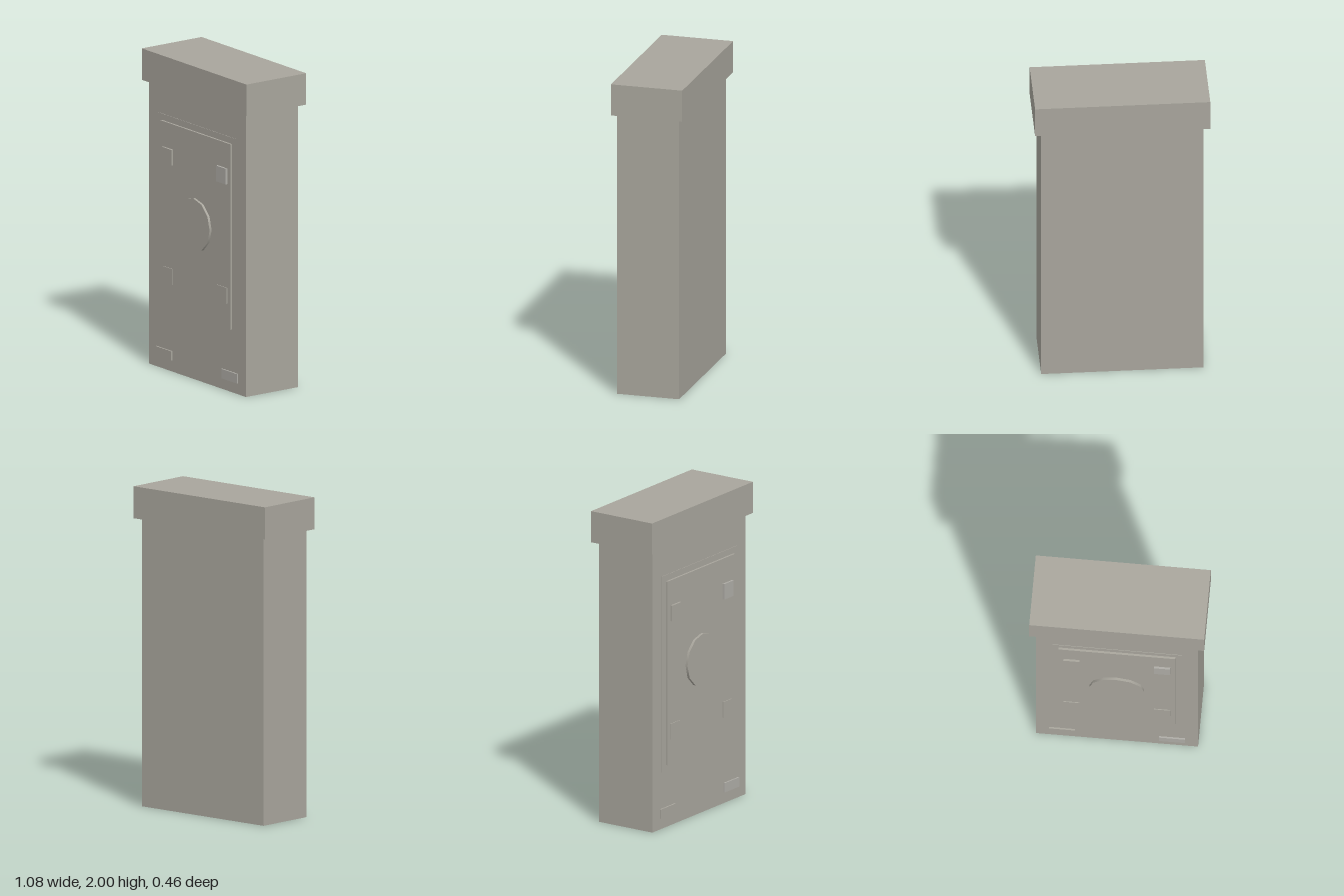
import * as THREE from 'three';

export function createModel() {
  const group = new THREE.Group();
  const material = (name, color) => {
    const m = new THREE.MeshStandardMaterial({ color });
    m.name = name;
    return m;
  };
  const stone = material('stone', 0xa8a59c);
  const paleStone = material('paleStone', 0xaeaca6);

  // Box given by its extents on each axis
  const box = (name, x0, x1, y0, y1, z0, z1, mat = stone) => {
    const mesh = new THREE.Mesh(new THREE.BoxGeometry(x1 - x0, y1 - y0, z1 - z0), mat);
    mesh.position.set((x0 + x1) / 2, (y0 + y1) / 2, (z0 + z1) / 2);
    mesh.name = name;
    group.add(mesh);
  };

  // Slab and overhanging cap
  box('body', -0.5, 0.5, 0, 1.8, -0.2, 0.2);
  box('cap', -0.54, 0.54, 1.8, 2, -0.232, 0.226);

  // Stepped front panel
  box('panelBorder', -0.4, 0.4, 0.36, 1.62, 0.195, 0.203);
  box('panel', -0.36, 0.36, 0.4, 1.58, 0.195, 0.216);

  // Twelve-sided medallion
  const disc = new THREE.Mesh(new THREE.CylinderGeometry(0.168, 0.168, 0.03, 12).rotateX(Math.PI / 2), stone);
  disc.position.set(0, 0.993, 0.217);
  disc.name = 'medallion';
  group.add(disc);

  // Paired studs and foot tabs
  for (const s of [-1, 1]) {
    const side = s > 0 ? 'left' : 'right';
    const pair = (name, a, b, ...rest) => box(side + name, Math.min(s * a, s * b), Math.max(s * a, s * b), ...rest);
    pair('UpperStud', 0.23, 0.33, 1.32, 1.42, 0.2, 0.229, s > 0 ? paleStone : stone);
    pair('LowerStud', 0.23, 0.33, 0.56, 0.66, 0.2, 0.221);
    pair('FootTab', 0.26, 0.42, 0.07, 0.13, 0.195, 0.21, s > 0 ? paleStone : stone);
  }
  return group;
}
